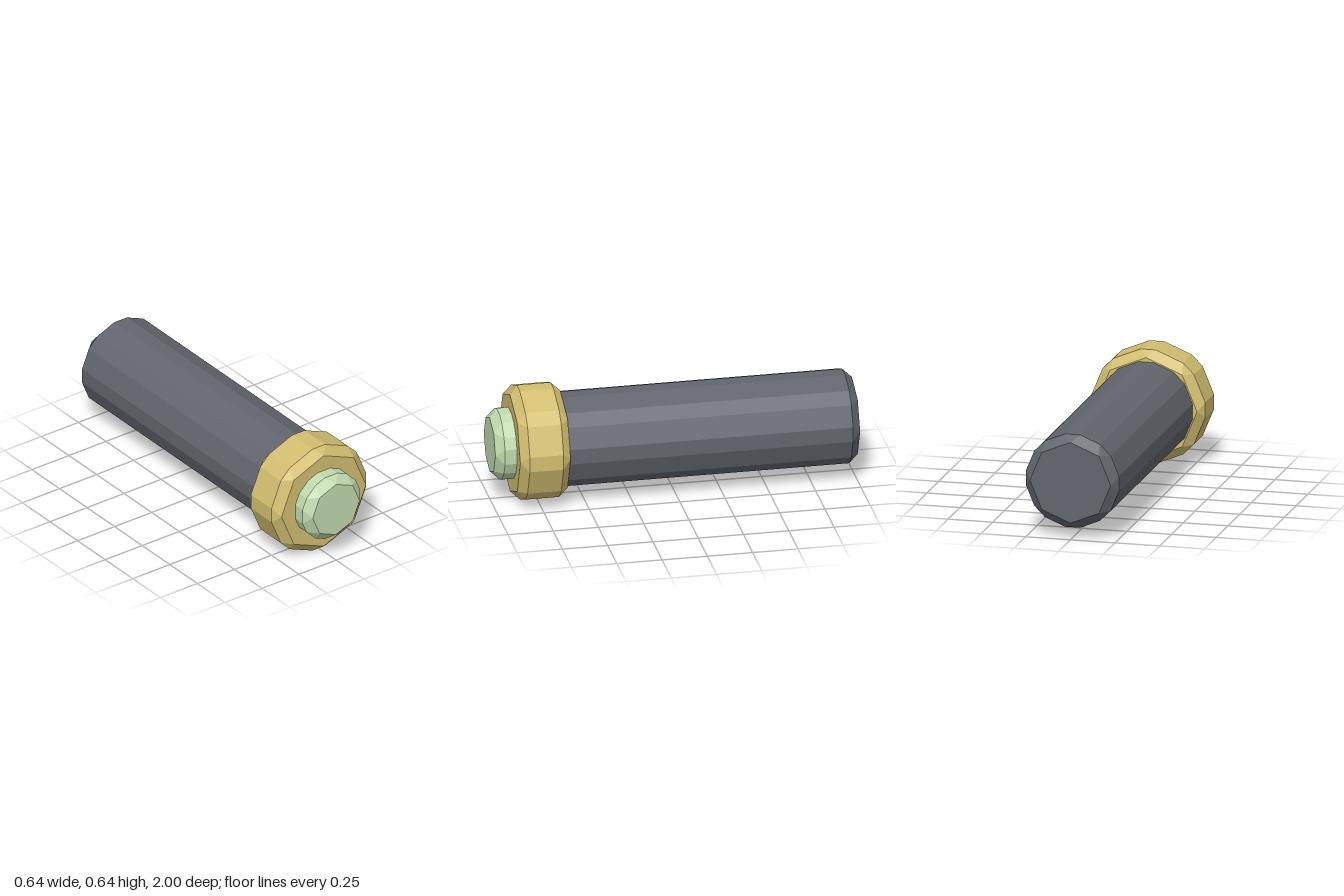
import * as THREE from 'three';

const CENTRE_Y = 0.319;
const BEVEL = 0.046; // bevel length along the axis
const INSET = 0.034; // how far the end octagon sits inside the wall
const EDGE = 0.0425; // half width of each bevelled long edge

// Octagonal prism along z with every edge and corner bevelled.
// r is the distance from the axis to the middle of a bevelled long edge.
function bevelledOctagon(r, z0, z1) {
  const pos = [];
  const face = (flip, ...pts) => {
    const p = flip ? pts.slice().reverse() : pts;
    for (let i = 1; i < p.length - 1; i++) pos.push(...p[0], ...p[i], ...p[i + 1]);
  };
  // point near corner k: out from the axis, then sideways
  const at = (k, out, side, z) => {
    const a = ((k % 8) * Math.PI) / 4;
    return [out * Math.cos(a) - side * Math.sin(a), out * Math.sin(a) + side * Math.cos(a), z];
  };
  const f = z1 - BEVEL, b = z0 + BEVEL;
  for (let k = 0; k < 8; k++) {
    // long walls: narrow bevel, then broad side
    face(false, at(k, r, -EDGE, b), at(k, r, EDGE, b), at(k, r, EDGE, f), at(k, r, -EDGE, f));
    face(false, at(k, r, EDGE, b), at(k + 1, r, -EDGE, b), at(k + 1, r, -EDGE, f), at(k, r, EDGE, f));
    // both ends: flat cap, corner triangle, sloping bevel
    for (const [end, ring, flip] of [[z1, f, false], [z0, b, true]]) {
      const c0 = at(k, r - INSET, 0, end), c1 = at(k + 1, r - INSET, 0, end);
      face(flip, [0, 0, end], c0, c1);
      face(flip, c0, at(k, r, -EDGE, ring), at(k, r, EDGE, ring));
      face(flip, c0, at(k, r, EDGE, ring), at(k + 1, r, -EDGE, ring), c1);
    }
  }
  const g = new THREE.BufferGeometry();
  g.setAttribute('position', new THREE.Float32BufferAttribute(pos, 3));
  g.computeVertexNormals();
  return g;
}

function material(name, color) {
  const m = new THREE.MeshStandardMaterial({ color, flatShading: true });
  m.name = name;
  return m;
}

export function createModel() {
  const group = new THREE.Group();
  group.name = 'flashlight';
  const add = (name, mat, r, z0, z1) => {
    const mesh = new THREE.Mesh(bevelledOctagon(r, z0, z1), mat);
    mesh.name = name;
    mesh.position.y = CENTRE_Y;
    group.add(mesh);
  };
  add('handle', material('dark grey', 0x62656d), 0.26, -1, 0.7);
  add('headRing', material('gold', 0xd2be70), 0.319, 0.61, 0.888);
  add('lens', material('pale green', 0xc0daae), 0.192, 0.8, 1);
  return group;
}
